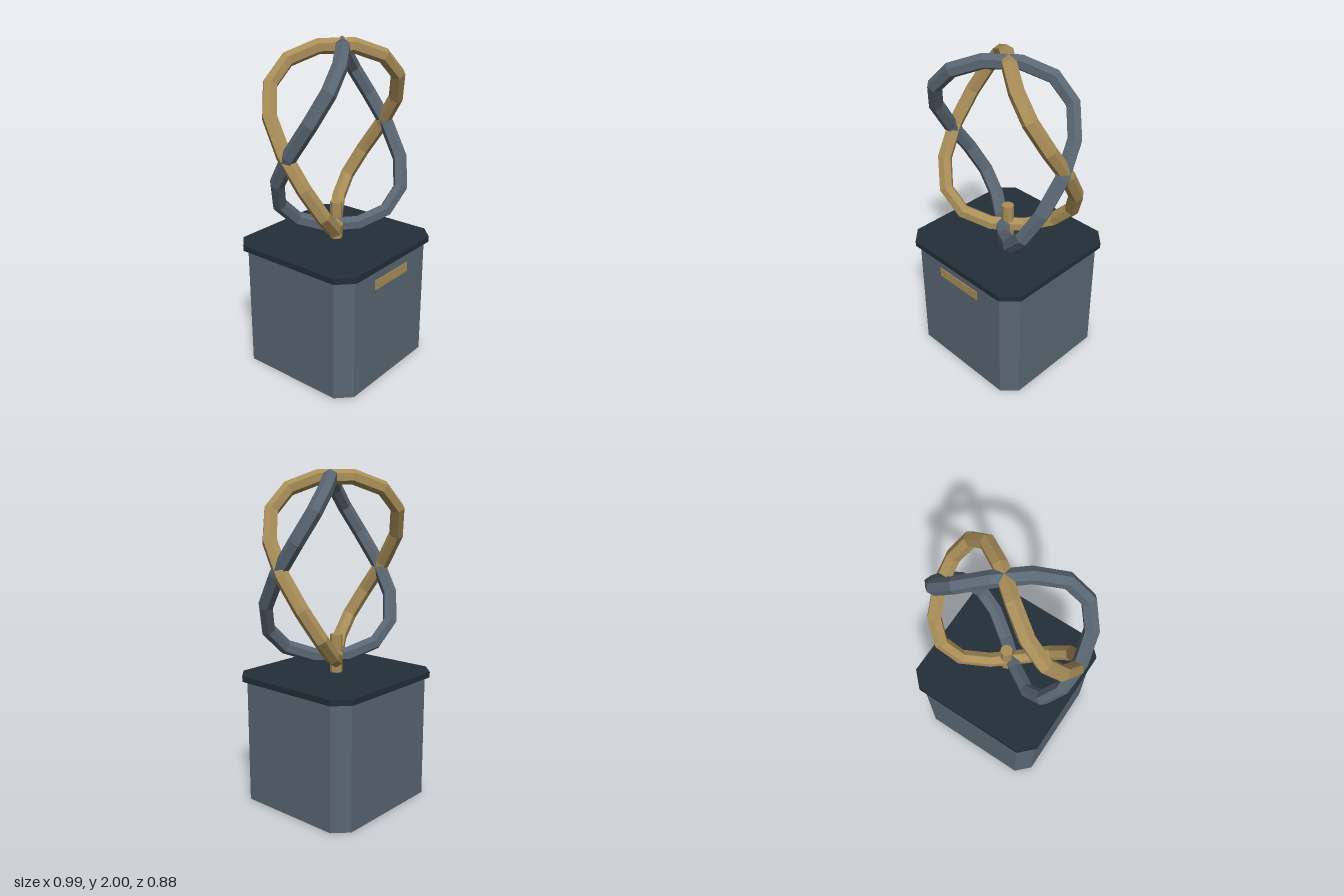
import * as THREE from 'three';

const material = (name, color) => {
  const m = new THREE.MeshStandardMaterial({ color, flatShading: true });
  m.name = name;
  return m;
};

// Closed saddle-shaped loop: an ellipse from the front, a figure eight from the side and top
class SaddleCurve extends THREE.Curve {
  constructor(sign) {
    super();
    this.sign = sign;
  }
  getPoint(t, target = new THREE.Vector3()) {
    const a = t * Math.PI * 2;
    return target.set(0.45 * Math.cos(a), 0.54 * Math.sin(a), 0.19 * this.sign * Math.sin(2 * a));
  }
  getTangent(t, target = new THREE.Vector3()) {
    const a = t * Math.PI * 2;
    return target
      .set(-0.45 * Math.sin(a), 0.54 * Math.cos(a), 0.38 * this.sign * Math.cos(2 * a))
      .normalize();
  }
  // Even steps in angle rather than in length
  getUtoTmapping(u) {
    return u;
  }
}

// Upright block with chamfered vertical corners, standing on y = 0
function chamferedBlock(x, z, cut, height) {
  const shape = new THREE.Shape([
    [x, -z + cut], [x, z - cut], [x - cut, z], [-x + cut, z],
    [-x, z - cut], [-x, -z + cut], [-x + cut, -z], [x - cut, -z],
  ].map(([px, py]) => new THREE.Vector2(px, py)));
  return new THREE.ExtrudeGeometry(shape, { depth: height, bevelEnabled: false }).rotateX(-Math.PI / 2);
}

export function createModel() {
  const slate = material('slate', 0x5a6672);
  const gold = material('gold', 0xa98e59);
  const dark = material('dark slate', 0x232e37);

  const model = new THREE.Group();
  model.name = 'loopSculpture';
  const add = (name, geometry, mat, x, y, z) => {
    const mesh = new THREE.Mesh(geometry, mat);
    mesh.name = name;
    mesh.position.set(x, y, z);
    model.add(mesh);
  };

  // Pedestal, its cap and the plate on the front
  add('pedestal', chamferedBlock(0.432, 0.416, 0.085, 0.76), slate, 0, 0, 0);
  add('pedestalCap', chamferedBlock(0.455, 0.44, 0.09, 0.035), dark, 0, 0.76, 0);
  add('frontPlate', new THREE.BoxGeometry(0.32, 0.06, 0.008), gold, 0, 0.66, 0.417);

  // Supporting peg
  add('peg', new THREE.CylinderGeometry(0.038, 0.038, 0.24, 8), gold, 0, 0.91, 0);

  // Two mirrored loops, the slate one slightly forward
  const loop = (sign) => new THREE.TubeGeometry(new SaddleCurve(sign), 18, 0.045, 6, true);
  add('goldLoop', loop(1), gold, 0, 1.425, 0);
  add('slateLoop', loop(-1), slate, 0, 1.425, 0.043);

  return model;
}
